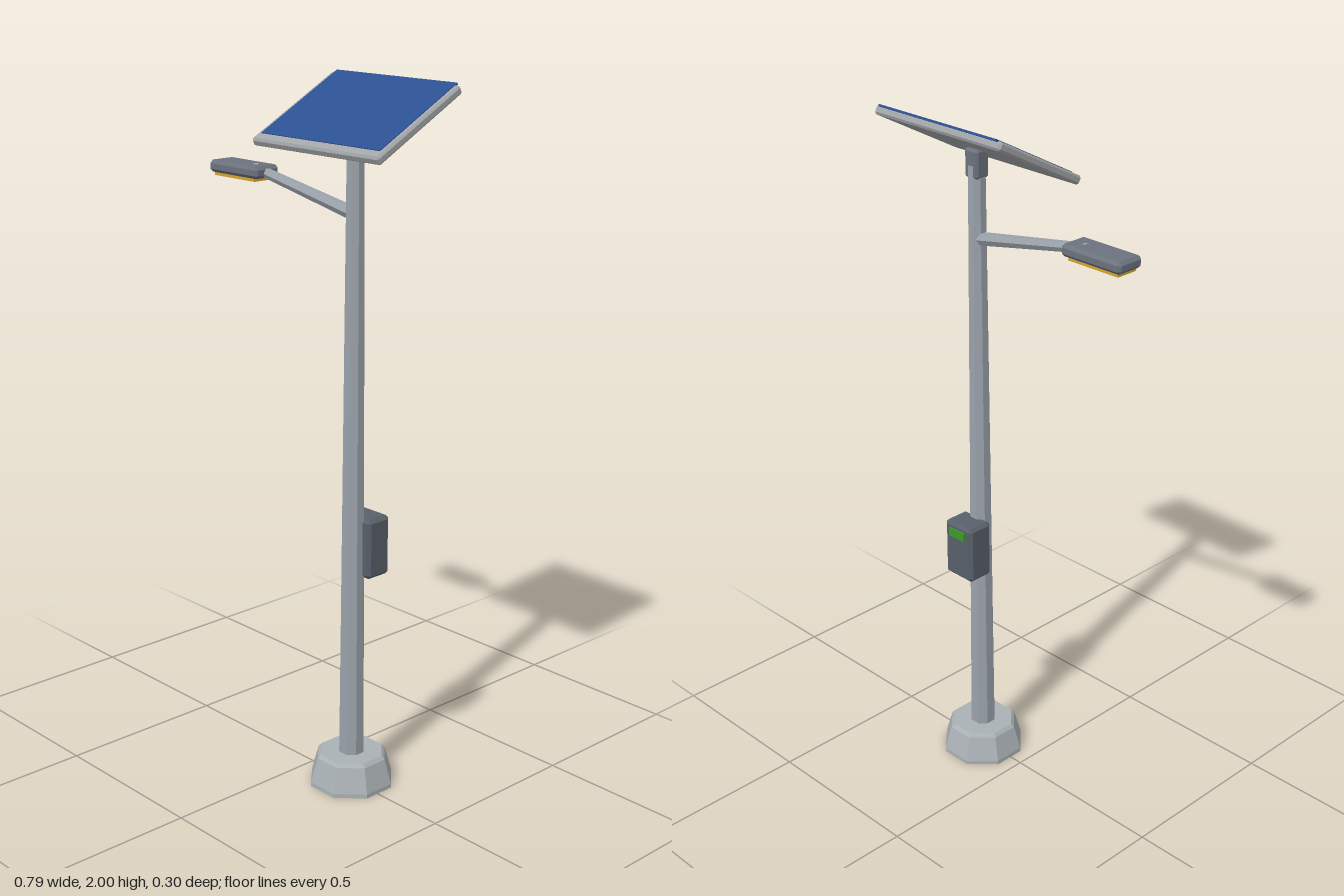
import * as THREE from 'three';
import { ConvexGeometry } from 'three/addons/geometries/ConvexGeometry.js';

const PX = 0.157, PZ = -0.006; // pole axis

function material(name, color) {
  const m = new THREE.MeshStandardMaterial({ color });
  m.name = name;
  return m;
}

// Give every face its own flat normal
function faceted(geometry) {
  const g = geometry.index ? geometry.toNonIndexed() : geometry;
  g.computeVertexNormals();
  return g;
}

// Box with all edges and corners chamfered by b
function chamferBox(w, h, d, b) {
  const points = [];
  for (const x of [-1, 1]) for (const y of [-1, 1]) for (const z of [-1, 1]) {
    for (let axis = 0; axis < 3; axis++) {
      const inset = [b, b, b];
      inset[axis] = 0;
      points.push(new THREE.Vector3(
        x * (w / 2 - inset[0]), y * (h / 2 - inset[1]), z * (d / 2 - inset[2])));
    }
  }
  return faceted(new ConvexGeometry(points));
}

// Eight-sided turned shape with flats facing the axes; radii measured to the flats
function octagon(profile) {
  const k = 1 / Math.cos(Math.PI / 8);
  const g = new THREE.LatheGeometry(profile.map(([r, y]) => new THREE.Vector2(r * k, y)), 8);
  return faceted(g.rotateY(Math.PI / 8));
}

export function createModel() {
  const steel = material('steel', 0x9aa2aa);
  const concrete = material('concrete', 0xaab1b5);
  const frameMetal = material('panelFrame', 0xa2a5a8);
  const solarBlue = material('solarBlue', 0x2c4f92);
  const lampGrey = material('lampGrey', 0x6b727e);
  const boxGrey = material('boxGrey', 0x58606a);
  const amber = material('amberLight', 0xd6a62c);
  const green = material('greenIndicator', 0x3c9a28);

  const model = new THREE.Group();
  function add(name, geometry, mat, x, y, z, parent = model) {
    const mesh = new THREE.Mesh(geometry, mat);
    mesh.name = name;
    mesh.position.set(x, y, z);
    parent.add(mesh);
    return mesh;
  }

  // Footing and tapered pole
  add('footing', octagon([[0, 0], [0.115, 0], [0.115, 0.012], [0.096, 0.085], [0.087, 0.095], [0, 0.095]]),
    concrete, PX, 0, PZ);
  add('pole', octagon([[0, 0.09], [0.035, 0.09], [0.023, 1.86], [0, 1.86]]), steel, PX, 0, PZ);

  // Bracket under the panel
  add('panelBracket', chamferBox(0.05, 0.08, 0.046, 0.006), lampGrey, PX, 1.865, PZ);

  // Tilted solar panel
  const panel = new THREE.Group();
  panel.name = 'solarPanel';
  panel.position.set(PX + 0.001, 1.911, -0.002);
  panel.rotation.x = THREE.MathUtils.degToRad(28);
  add('panelFrame', chamferBox(0.475, 0.025, 0.333, 0.006), frameMetal, 0, 0, 0, panel);
  add('solarCells', new THREE.BoxGeometry(0.445, 0.006, 0.309), solarBlue, 0, 0.0115, -0.0165, panel);
  model.add(panel);

  // Six-sided arm from the pole to the lamp
  const start = new THREE.Vector3(PX, 1.654, -0.008);
  const end = new THREE.Vector3(-0.25, 1.732, -0.009);
  const along = end.clone().sub(start);
  const arm = add('lampArm', faceted(new THREE.CylinderGeometry(0.014, 0.019, along.length(), 6)),
    steel, 0, 0, 0);
  arm.position.copy(start).add(end).multiplyScalar(0.5);
  arm.quaternion.setFromUnitVectors(new THREE.Vector3(0, 1, 0), along.normalize());

  // Lamp head with light plate below
  add('lampHead', chamferBox(0.204, 0.034, 0.088, 0.009), lampGrey, -0.297, 1.725, -0.009);
  add('lightPlate', new THREE.BoxGeometry(0.17, 0.0099, 0.066), amber, -0.3, 1.704, -0.009);

  // Control box on the back of the pole
  add('controlBox', chamferBox(0.108, 0.175, 0.084, 0.01), boxGrey, PX + 0.001, 0.72, -0.056);
  add('indicator', new THREE.BoxGeometry(0.062, 0.026, 0.008), green, PX + 0.001, 0.778, -0.099);

  return model;
}
